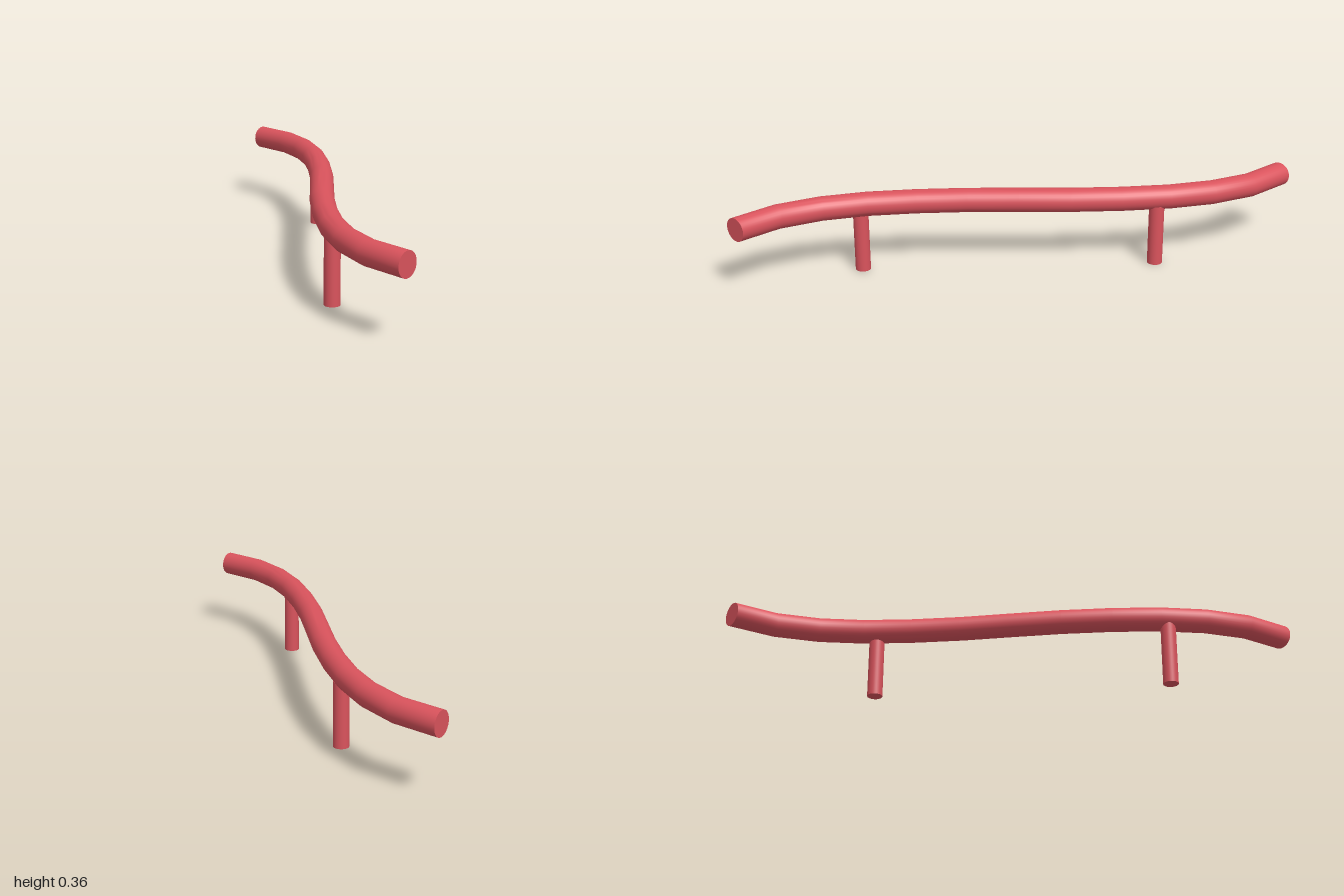
import * as THREE from 'three';
import { toCreasedNormals } from 'three/addons/utils/BufferGeometryUtils.js';

// Bends a capped cylinder along a polyline, with upright rings facing along the path
function bentPipe(points, radius, sides) {
  const n = points.length - 1;
  const geo = new THREE.CylinderGeometry(radius, radius, 1, sides, n);
  const pos = geo.attributes.position;
  const dirs = points.map((p, i) => {
    // end rings are cut square to z
    if (i === 0 || i === n) return new THREE.Vector3(0, 0, -1);
    const a = p.clone().sub(points[i - 1]).normalize();
    const b = points[i + 1].clone().sub(p).normalize();
    return a.add(b).setY(0).normalize();
  });
  for (let i = 0; i < pos.count; i++) {
    const k = Math.round((pos.getY(i) + 0.5) * n);
    const p = points[k], t = dirs[k], s = pos.getX(i);
    pos.setXYZ(i, p.x - t.z * s, p.y + pos.getZ(i), p.z + t.x * s);
  }
  return toCreasedNormals(geo, 0.7);
}

export function createModel() {
  const group = new THREE.Group();
  const material = new THREE.MeshStandardMaterial({ color: 0xd9535c });
  const add = (name, geo, x = 0, y = 0, z = 0) => {
    const mesh = new THREE.Mesh(geo, material);
    mesh.name = name;
    mesh.position.set(x, y, z);
    group.add(mesh);
  };

  // S-curved rail, point-symmetric in plan and dropping slightly at the back
  const half = [[0.67, 1], [0.643, 0.8], [0.567, 0.623], [0.457, 0.46], [0.32, 0.303], [0.165, 0.148]];
  const plan = [
    ...half.map(([x, z]) => [-x, z]),
    [0, 0],
    ...half.map(([x, z]) => [x, -z]).reverse(),
  ];
  const path = plan.map(([x, z]) =>
    new THREE.Vector3(x, 0.307 - 0.007 * THREE.MathUtils.clamp(-z, 0, 1), z));
  add('rail', bentPipe(path, 0.052, 32));

  // Two round posts, their tops hidden inside the rail
  for (const [name, x, z] of [['frontPost', -0.48, 0.48], ['backPost', 0.43, -0.41]]) {
    const h = 0.275;
    add(name, new THREE.CylinderGeometry(0.033, 0.033, h, 32), x, h / 2, z);
  }
  return group;
}
